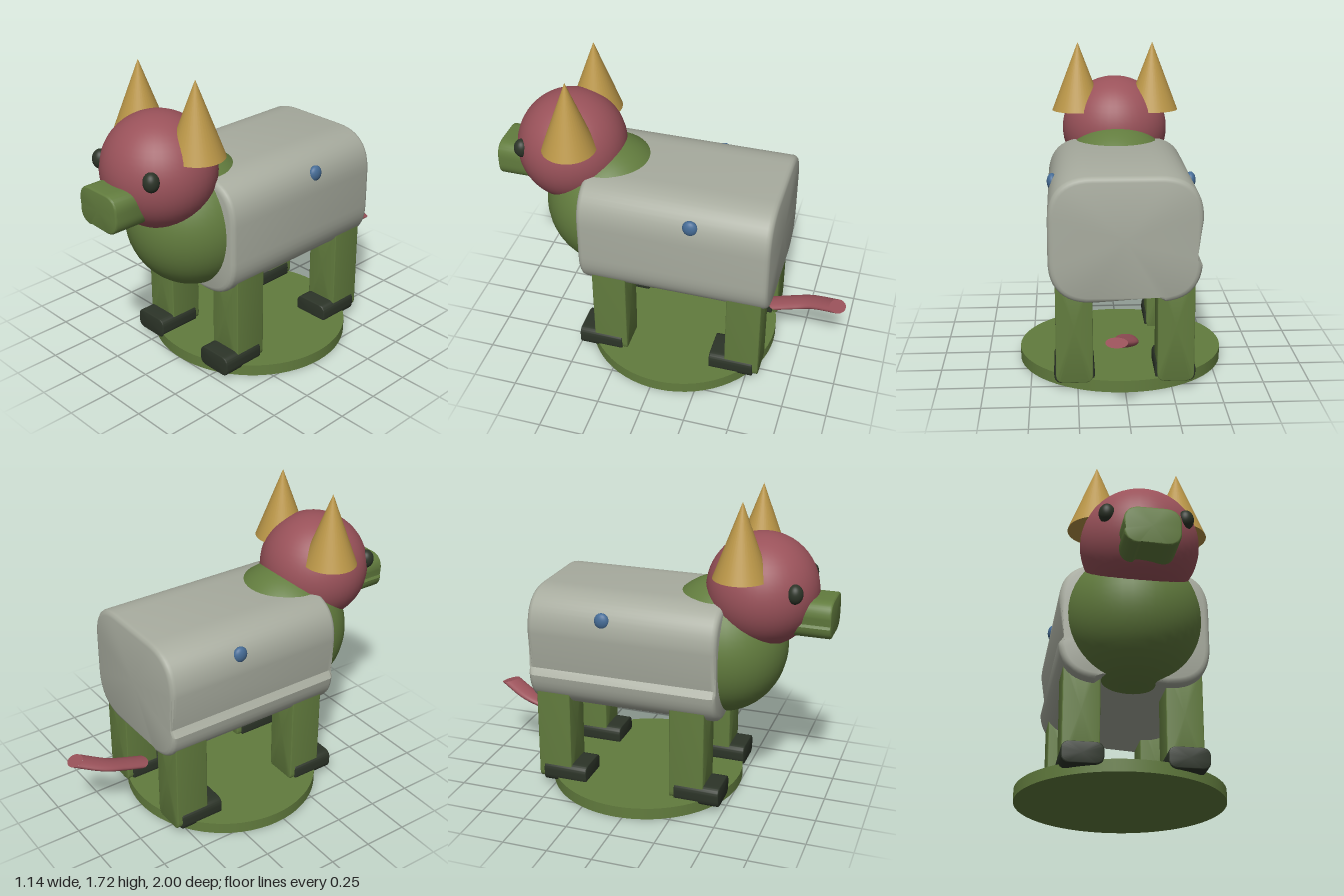
import * as THREE from 'three';
import { toCreasedNormals } from 'three/addons/utils/BufferGeometryUtils.js';

const mat = (name, color) => {
  const m = new THREE.MeshStandardMaterial({ color });
  m.name = name;
  return m;
};

// Outline of a rounded rectangle, counter-clockwise, grown outward by b.
// With dent, both ends of the lower -x corner stay on the ungrown outline.
function outline(w, h, r, b, dent) {
  const pts = [];
  const x = w / 2 + b, y = h / 2 + b, k = r + b;
  const corners = [[1, -1], [1, 1], [-1, 1], [-1, -1]];
  corners.forEach(([sx, sy], c) => {
    const onSide = new THREE.Vector2(sx * x, sy * (y - k));
    const onFlat = new THREE.Vector2(sx * (x - k), sy * y);
    const tip = new THREE.Vector2(sx * x, sy * y);
    const curve = c % 2 === 0
      ? new THREE.QuadraticBezierCurve(onFlat, tip, onSide)
      : new THREE.QuadraticBezierCurve(onSide, tip, onFlat);
    const p = curve.getPoints(12);
    if (dent && c === 3) {
      p[0].x += b;
      p[12].y += b;
    }
    pts.push(...p);
  });
  return pts;
}

// Rounded-rectangle block along z with softly bevelled ends
function block(x0, x1, y0, y1, z0, z1, r, b, dent = false) {
  const w = x1 - x0 - 2 * b, h = y1 - y0 - 2 * b;
  const cx = (x0 + x1) / 2, cy = (y0 + y1) / 2;
  const rings = [];
  for (let i = 0; i <= 3; i++) {
    const a = (i / 3) * Math.PI / 2;
    rings.push([z0 + b * (1 - Math.sin(a)), b * (1 - Math.cos(a))]);
  }
  // the bevel starts on the inner outline and swells to the outer one
  const back = rings.map(([, ], i) => {
    const a = (i / 3) * Math.PI / 2;
    return [b * (1 - Math.cos(a)), b * Math.sin(a)];
  });
  const profile = [
    ...back.map(([d, g]) => [z0 + d, g]),
    ...back.slice().reverse().map(([d, g]) => [z1 - d, g]),
  ];
  const pos = [], idx = [];
  let n = 0;
  for (const [z, g] of profile) {
    const ring = outline(w, h, r, g, dent);
    n = ring.length;
    for (const p of ring) pos.push(cx + p.x, cy + p.y, z);
  }
  const last = (profile.length - 1) * n, c0 = profile.length * n;
  pos.push(cx, cy, z0, cx, cy, z1);
  for (let j = 0; j < n; j++) {
    const k = (j + 1) % n;
    for (let i = 0; i < profile.length - 1; i++) {
      const a = i * n + j, d = i * n + k;
      idx.push(a, d, d + n, a, d + n, a + n);
    }
    idx.push(c0, k, j, c0 + 1, last + j, last + k);
  }
  const g = new THREE.BufferGeometry();
  g.setAttribute('position', new THREE.Float32BufferAttribute(pos, 3));
  g.setIndex(idx);
  return toCreasedNormals(g, 0.6);
}

const ball = (x, y, z, rx, ry, rz) =>
  new THREE.SphereGeometry(1, 40, 28).scale(rx, ry, rz).translate(x, y, z);

export function createModel() {
  const model = new THREE.Group();
  model.name = 'hornedAnimal';
  const red = mat('dusty red', 0x9a525a);
  const green = mat('moss green', 0x627c3e);
  const grey = mat('pale grey', 0xa8ac9f);
  const gold = mat('horn gold', 0xbb9748);
  const dark = mat('dark green black', 0x2c3428);
  const blue = mat('spot blue', 0x466c96);

  const add = (name, geometry, material, parent = model) => {
    const m = new THREE.Mesh(geometry, material);
    m.name = name;
    parent.add(m);
    return m;
  };

  // Stand
  add('stand', new THREE.CylinderGeometry(1, 1, 0.065, 64)
    .scale(0.568, 1, 0.55).translate(0, 0.0325, -0.045), green);

  // Trunk, chest and head
  add('body', block(-0.4, 0.4, 0.5, 1.17, -0.61, 0.46, 0.2, 0.03, true), grey);
  add('chest', ball(0, 0.87, 0.39, 0.36, 0.385, 0.36), green);
  add('head', ball(0, 1.202, 0.602, 0.312, 0.309, 0.303), red);
  add('snout', block(-0.145, 0.145, 0.99, 1.2, 0.75, 1, 0.075, 0.01, true), green);

  // Paired parts
  for (const s of [1, -1]) {
    const side = s > 0 ? 'left' : 'right';
    add(side + 'Eye', ball(s * 0.203, 1.256, 0.818, 0.043, 0.053, 0.043), dark);
    add(side + 'Horn', new THREE.ConeGeometry(0.15, 0.4, 40)
      .scale(1.02, 1, 0.98).translate(s * 0.22, 1.52, 0.536), gold);
    add(side + 'Spot', ball(s * 0.375, 1.05, -0.175, 0.028, 0.045, 0.042), blue);

    const x0 = s > 0 ? 0.17 : -0.365, x1 = s > 0 ? 0.365 : -0.17;
    for (const [end, z] of [['Front', 0.2], ['Back', -0.575]]) {
      const leg = new THREE.Group();
      leg.name = side + end + 'Leg';
      model.add(leg);
      add('shank', block(x0, x1, 0.05, 0.66, z, z + 0.195, 0.04, 0.005), green, leg);
      add('hoof', block(x0 - 0.01, x1 + 0.01, 0.037, 0.152, z + 0.03, z + 0.285, 0.04, 0.006),
        dark, leg);
    }
  }

  // Tail: a round tube, flattened in height
  const flat = 0.3;
  const path = new THREE.CatmullRomCurve3([
    [0, 0.3, -0.59], [0, 0.335, -0.7], [0.006, 0.368, -0.8], [0.065, 0.425, -0.955],
  ].map(([x, y, z]) => new THREE.Vector3(x, y / flat, z)));
  const tail = new THREE.Group();
  tail.name = 'tail';
  tail.scale.y = flat;
  model.add(tail);
  add('tailTube', new THREE.TubeGeometry(path, 24, 0.057, 20, false), red, tail);
  for (const t of [0, 1]) {
    const cap = add('tailEnd', new THREE.CircleGeometry(0.057, 20), red, tail);
    cap.position.copy(path.getPoint(t));
    cap.quaternion.setFromUnitVectors(new THREE.Vector3(0, 0, 1),
      path.getTangent(t).multiplyScalar(t ? 1 : -1));
  }
  return model;
}
